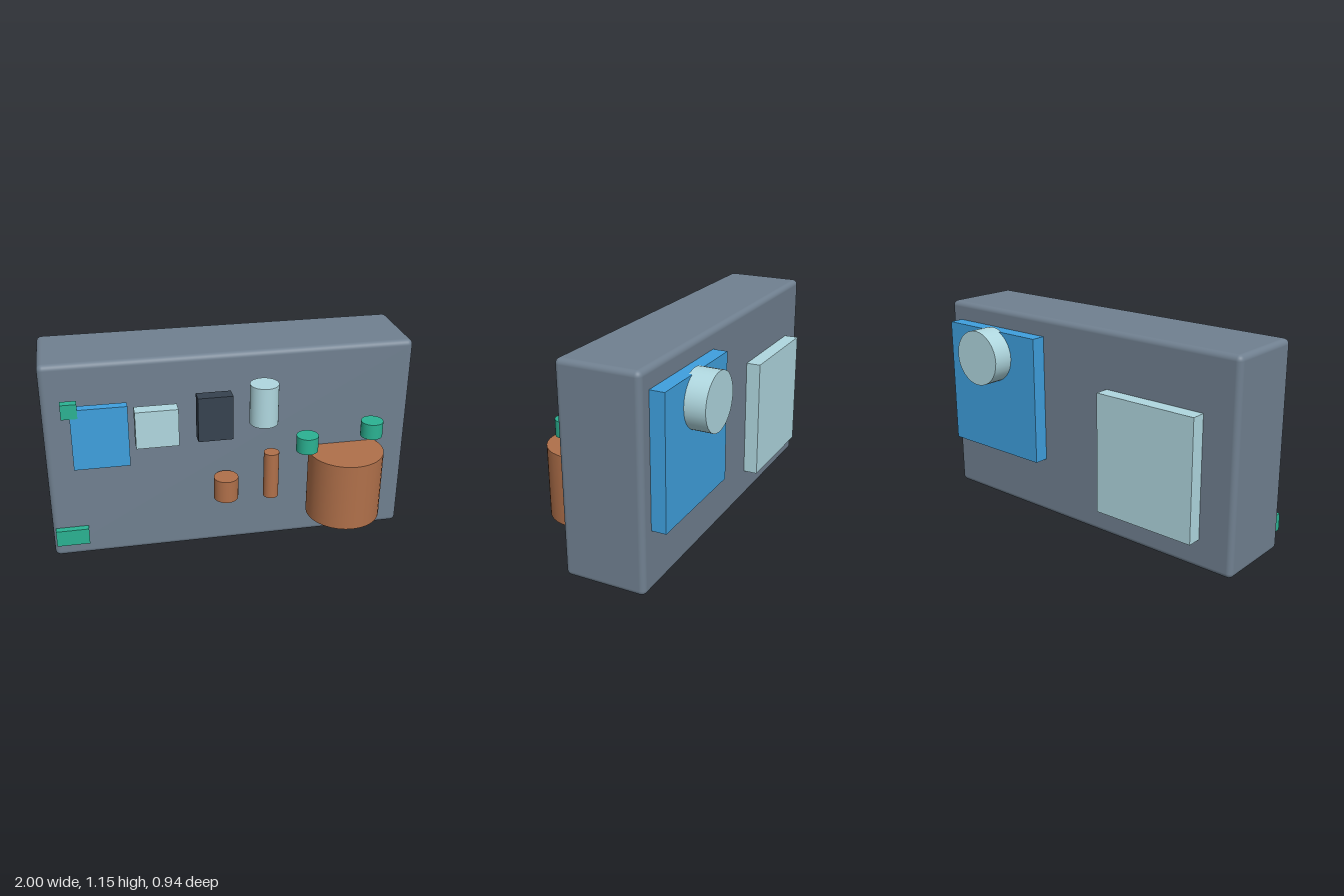
import * as THREE from 'three';
import { RoundedBoxGeometry } from 'three/addons/geometries/RoundedBoxGeometry.js';

const mat = (color) => new THREE.MeshStandardMaterial({ color });

export function createModel() {
  const group = new THREE.Group();
  const slate = mat(0x708090), blue = mat(0x3fa0de), pale = mat(0xb0d8e0);
  const green = mat(0x2bb292), copper = mat(0xb0704a), dark = mat(0x36424f);

  const add = (name, geometry, material, x, y, z) => {
    const mesh = new THREE.Mesh(geometry, material);
    mesh.name = name;
    mesh.position.set(x, y, z);
    group.add(mesh);
    return mesh;
  };
  // Box given by its lower and upper limits on each axis
  const box = (name, material, [x0, x1], [y0, y1], [z0, z1]) =>
    add(name, new THREE.BoxGeometry(x1 - x0, y1 - y0, z1 - z0), material,
      (x0 + x1) / 2, (y0 + y1) / 2, (z0 + z1) / 2);
  // Upright cylinder given by centre, radius and height limits
  const can = (name, material, x, z, r, [y0, y1]) =>
    add(name, new THREE.CylinderGeometry(r, r, y1 - y0, 32), material, x, (y0 + y1) / 2, z);

  // Main housing with softened edges
  add('housing', new RoundedBoxGeometry(2, 1.15, 0.456, 4, 0.03), slate, 0, 0.575, -0.05);

  // Block components in front
  box('bluePanel', blue, [-0.855, -0.563], [0.62, 0.96], [0.27, 0.32]);
  box('upperTerminal', green, [-0.898, -0.815], [0.915, 0.995], [0.28, 0.325]);
  box('paleBlock', pale, [-0.53, -0.305], [0.717, 0.925], [0.258, 0.33]);
  box('darkBlock', dark, [-0.205, -0.02], [0.727, 0.975], [0.258, 0.33]);
  box('lowerTerminal', green, [-0.985, -0.805], [0.09, 0.185], [0.165, 0.215]);

  // Cylindrical components in front
  can('paleCan', pale, 0.15, 0.298, 0.076, [0.795, 1.018]);
  can('innerGreenCan', green, 0.397, 0.29, 0.06, [0.6, 0.69]);
  can('outerGreenCan', green, 0.757, 0.29, 0.06, [0.657, 0.745]);
  can('smallCopperCan', copper, -0.045, 0.258, 0.067, [0.333, 0.462]);
  can('thinCopperRod', copper, 0.205, 0.265, 0.042, [0.325, 0.594]);
  can('copperDrum', copper, 0.628, 0.263, 0.207, [0.175, 0.567]);

  // Rear plates and knob
  box('rearBluePlate', blue, [0.25, 0.92], [0.33, 1.045], [-0.358, -0.278]);
  box('rearPalePlate', pale, [-0.805, -0.2], [0.165, 0.835], [-0.358, -0.278]);
  const knob = can('rearKnob', pale, 0.583, -0.406, 0.155, [0.84, 0.97]);
  knob.rotation.x = Math.PI / 2;

  return group;
}
